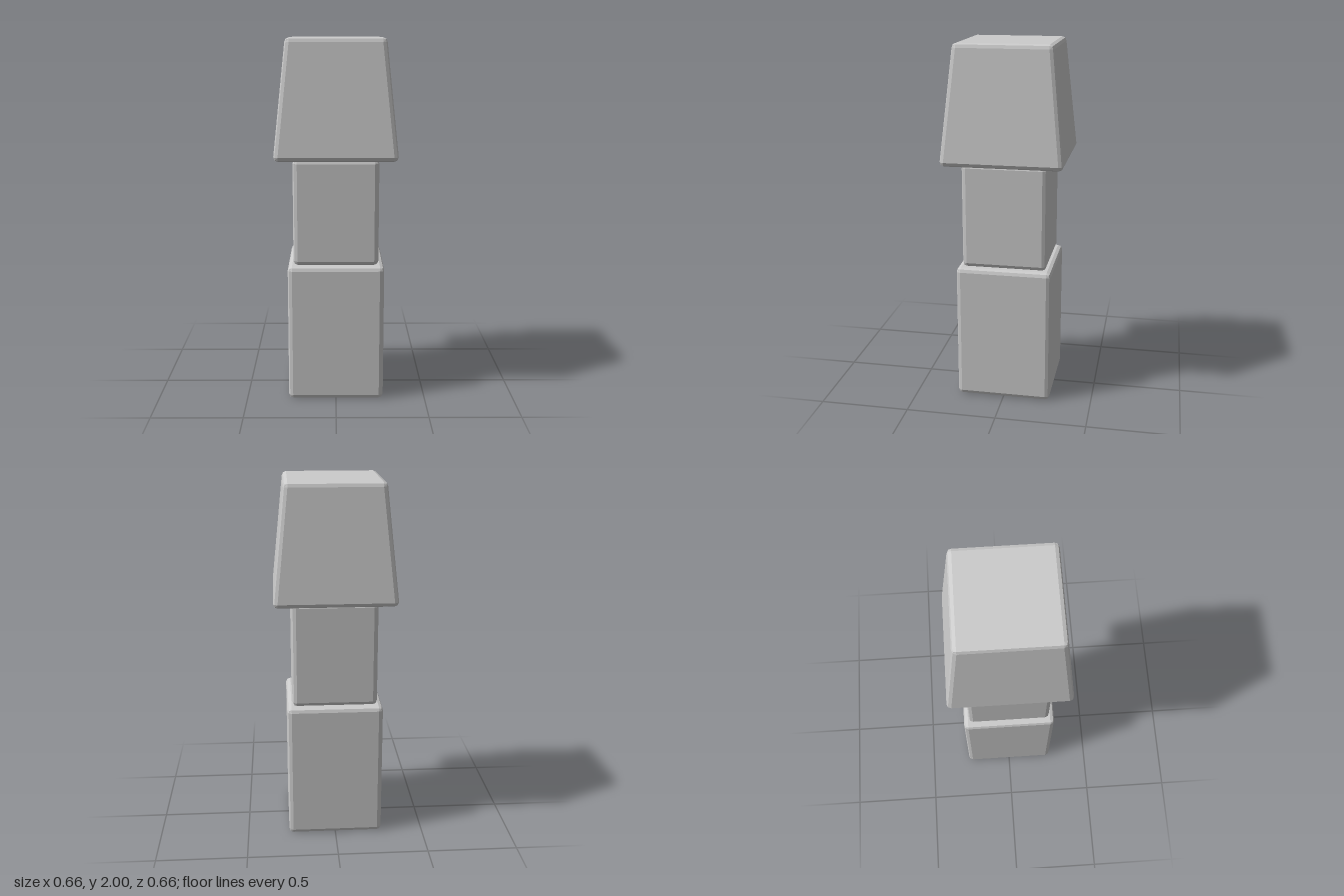
import * as THREE from 'three';
import { RoundedBoxGeometry } from 'three/addons/geometries/RoundedBoxGeometry.js';

const material = new THREE.MeshStandardMaterial({ color: 0xcccccc, flatShading: true });
const BEVEL = 0.024;

// Square bevelled block between two heights; the sides lean from bottomHalf to topHalf.
function block(name, y0, y1, bottomHalf, topHalf = bottomHalf) {
  const height = y1 - y0;
  const geometry = new RoundedBoxGeometry(2, height, 2, 1, BEVEL);
  const pos = geometry.attributes.position;
  const reach = height / 2 - BEVEL;
  for (let i = 0; i < pos.count; i++) {
    const y = pos.getY(i);
    const t = (THREE.MathUtils.clamp(y / reach, -1, 1) + 1) / 2;
    const half = THREE.MathUtils.lerp(bottomHalf, topHalf, t);
    // Slide the sides inward without changing the bevel width.
    const slide = (v) => v - Math.sign(v) * (1 - half);
    pos.setXYZ(i, slide(pos.getX(i)), y, slide(pos.getZ(i)));
  }
  geometry.computeVertexNormals();
  const mesh = new THREE.Mesh(geometry, material);
  mesh.name = name;
  mesh.position.y = (y0 + y1) / 2;
  return mesh;
}

export function createModel() {
  const model = new THREE.Group();
  model.name = 'stackedBlocks';
  model.add(
    block('baseBlock', 0, 0.771, 0.265),
    block('middleBlock', 0.771, 1.359, 0.234),
    block('taperedCap', 1.359, 2, 0.33, 0.268),
  );
  return model;
}
